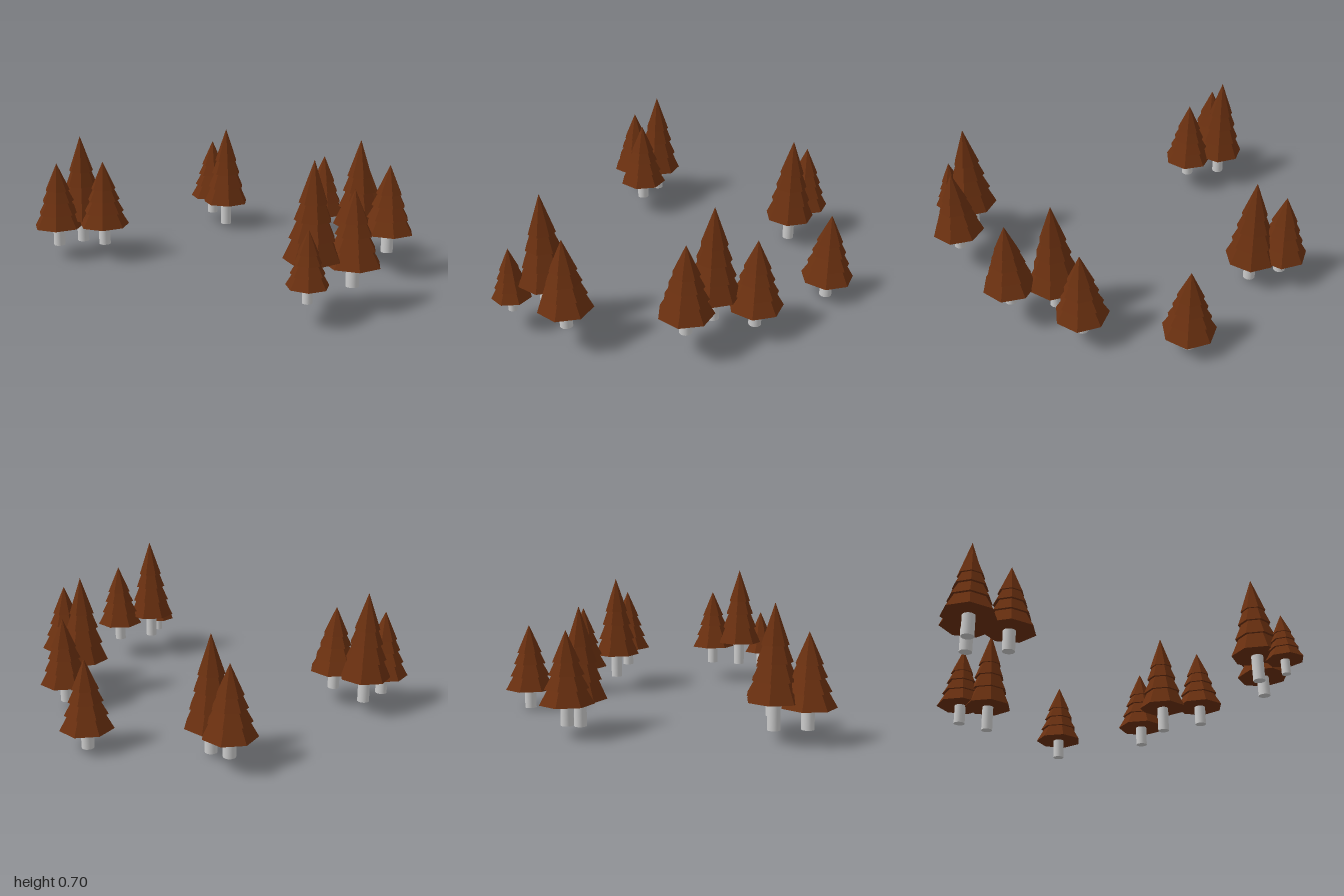
import * as THREE from 'three';

const bark = new THREE.MeshStandardMaterial({ color: 0xcccccc });
const needles = new THREE.MeshStandardMaterial({ color: 0x6a3010, flatShading: true });

// Foliage tiers: bottom height, top height, bottom radius, top radius
const TIERS = [
  [0.105, 0.2, 0.133, 0.078],
  [0.178, 0.265, 0.107, 0.058],
  [0.243, 0.325, 0.086, 0.045],
  [0.303, 0.45, 0.066, 0],
];

// Trees: x, ground height, z, width scale, height scale, turn
const TREES = [
  [-0.315, 0.055, -0.745, 1, 1, 0],
  [-0.195, 0.015, -0.645, 1, 1.3, 0],
  [0.39, 0, -0.75, 1, 1, 0],
  [0.705, 0.045, -0.35, 1, 1, 0],
  [0.695, 0.077, -0.15, 1, 1.3, 0],
  [0.865, 0.117, -0.015, 1, 1, -0.08],
  [-0.795, 0.058, 0.09, 1, 1.3, 0],
  [-0.87, 0.064, 0.225, 1, 1, -0.08],
  [-0.62, 0.08, 0.18, 1, 1, -0.08],
  [0.78, 0.106, 0.53, 1, 1, -0.05],
  [0.615, 0.114, 0.635, 1, 1.3, 0],
  [0.63, 0.102, 0.795, 0.73, 0.73, -0.18],
];

function createTree() {
  const tree = new THREE.Group();

  const trunkGeometry = new THREE.CylinderGeometry(0.031, 0.031, 0.16, 16);
  trunkGeometry.translate(0, 0.08, 0);
  const trunk = new THREE.Mesh(trunkGeometry, bark);
  trunk.name = 'trunk';
  tree.add(trunk);

  // Seven-sided skirts stacked up to a pointed tip
  TIERS.forEach(([y0, y1, r0, r1], i) => {
    const geometry = new THREE.CylinderGeometry(r1, r0, y1 - y0, 7);
    geometry.rotateY(Math.PI);
    geometry.translate(0, (y0 + y1) / 2, 0);
    const tier = new THREE.Mesh(geometry, needles);
    tier.name = `foliageTier${i + 1}`;
    tree.add(tier);
  });
  return tree;
}

export function createModel() {
  const grove = new THREE.Group();
  grove.name = 'pineGrove';
  TREES.forEach(([x, y, z, width, height, turn], i) => {
    const tree = createTree();
    tree.name = `pineTree${i + 1}`;
    tree.position.set(x, y, z);
    tree.scale.set(width, height, width);
    tree.rotation.y = turn;
    grove.add(tree);
  });
  return grove;
}
